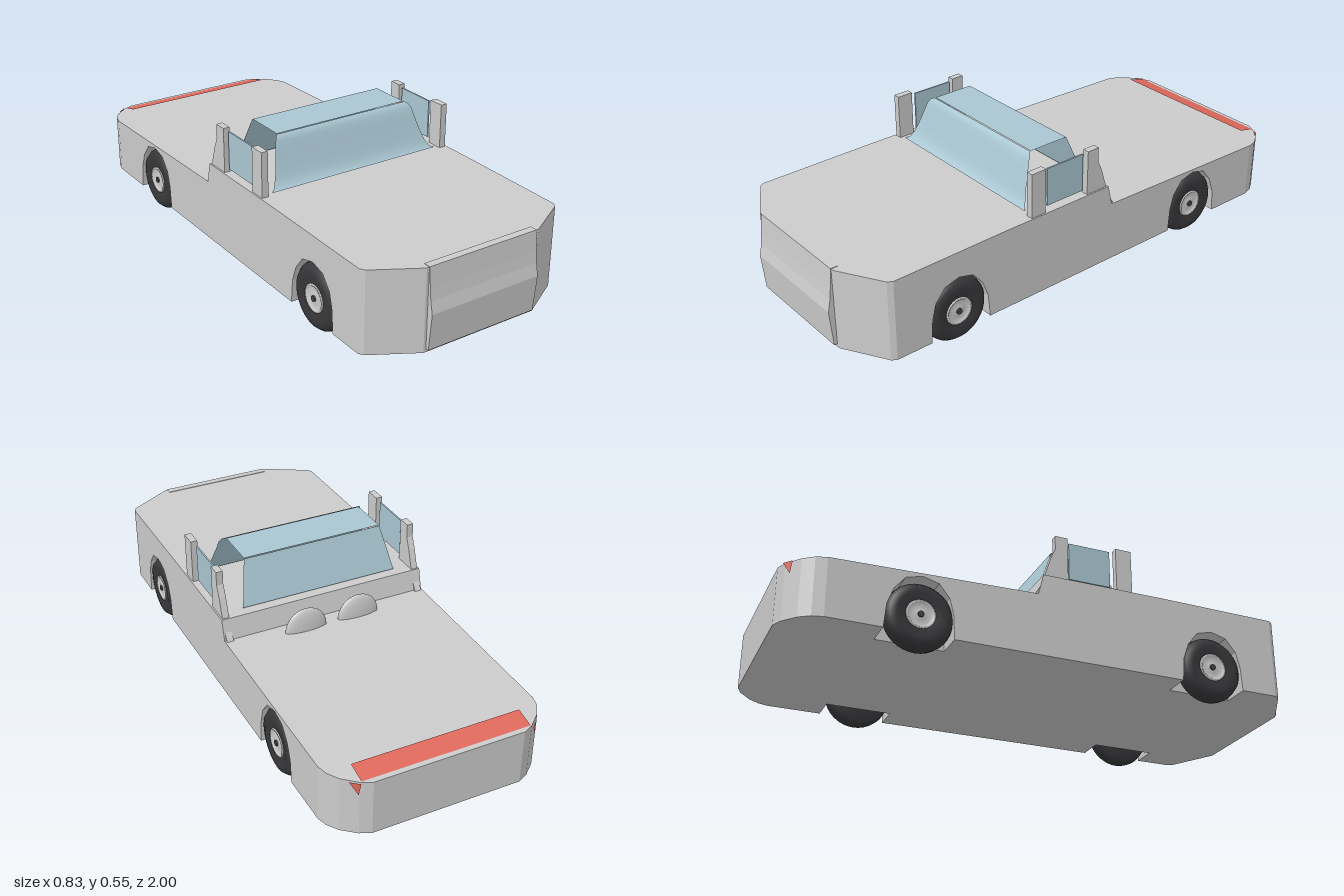
import * as THREE from 'three';

const mat = (color, side = THREE.FrontSide, flatShading = false) =>
  new THREE.MeshStandardMaterial({ color, side, flatShading });

export function createModel() {
  const car = new THREE.Group();
  car.name = 'car';
  const grey = mat(0xcccccc);
  const greyThin = mat(0xcccccc, THREE.DoubleSide);
  const glass = mat(0xa9c6d2, THREE.DoubleSide);
  const red = mat(0xe0695d, THREE.DoubleSide);
  const rubber = mat(0x38383b);
  const dark = mat(0x444448);

  const add = (name, geometry, material, parent = car) => {
    const mesh = new THREE.Mesh(geometry, material);
    mesh.name = name;
    parent.add(mesh);
    return mesh;
  };
  const toShape = (pts) => new THREE.Shape(pts.map(([a, b]) => new THREE.Vector2(a, b)));

  // Side profile of [z, y] points, extruded from x0 to x1
  const slab = (pts, x0, x1) =>
    new THREE.ExtrudeGeometry(toShape(pts), { depth: x1 - x0, bevelEnabled: false })
      .rotateY(-Math.PI / 2).translate(x1, 0, 0);

  // Half plan of [x, z] points, mirrored and extruded from y0 to y1
  const planBlock = (half, y0, y1) => {
    const other = half.map(([x, z]) => [-x, z]).reverse();
    return new THREE.ExtrudeGeometry(toShape([...half, ...other]), { depth: y1 - y0, bevelEnabled: false })
      .rotateX(Math.PI / 2).translate(0, y1, 0);
  };

  // Sheet through rows of [halfWidth, y, z]
  const sheet = (rows) => {
    const pos = [], index = [];
    rows.forEach(([w, y, z], i) => {
      pos.push(-w, y, z, w, y, z);
      if (i) {
        const a = 2 * i - 2;
        index.push(a, a + 1, a + 2, a + 1, a + 3, a + 2);
      }
    });
    const g = new THREE.BufferGeometry();
    g.setAttribute('position', new THREE.Float32BufferAttribute(pos, 3));
    g.setIndex(index);
    g.computeVertexNormals();
    return g;
  };

  // Body: core, then side walls with wheel arches
  const floor = 0.05, inner = 0.31, outer = 0.413;
  const topLine = [[0.84, 0.362], [0.4, 0.367], [-0.08, 0.367], [-0.1, 0.287], [-0.86, 0.27]];
  add('bodyCore', slab([[-0.86, floor], [0.84, floor], ...topLine], -inner, inner), grey);

  const wheelZ = [0.6, -0.53];
  const arch = [[-0.13, 0.05], [-0.122, 0.14], [-0.1, 0.2], [-0.06, 0.25], [0, 0.266],
    [0.06, 0.25], [0.1, 0.2], [0.115, 0.14], [0.12, 0.05]];
  const archAt = (c) => arch.map(([z, y]) => [c + z, y]);
  const wall = [[-0.86, floor], ...archAt(wheelZ[1]), ...archAt(wheelZ[0]), [0.84, floor], ...topLine];
  for (const [name, x0, x1] of [['leftSide', inner, outer], ['rightSide', -outer, -inner]])
    add(name, slab(wall, x0, x1), grey);

  // Chamfered nose with a bowed centre panel
  add('nose', planBlock([[outer, 0.84], [0.413, 0.862], [0.402, 0.88], [0.235, 0.976]], floor, 0.362), grey);
  add('nosePanel', slab([[0.95, 0.062], [0.988, 0.062], [1, 0.2], [0.99, 0.245], [0.985, 0.287],
    [0.978, 0.364], [0.95, 0.364]], -0.225, 0.225), grey);

  // Rounded tail whose deck drops slightly to the rear
  const tail = planBlock([[0.285, -1], [0.325, -0.982], [0.375, -0.94], [0.402, -0.9], [outer, -0.86]], floor, 0.27);
  const tp = tail.attributes.position;
  for (let i = 0; i < tp.count; i++)
    if (tp.getY(i) > 0.2) tp.setY(i, 0.27 + (tp.getZ(i) + 0.86) * 0.04);
  tail.computeVertexNormals();
  add('tail', tail, grey);

  // Rear light strip and corner tabs
  add('rearLight', sheet([[0.32, 0.267, -0.982], [0.32, 0.284, -0.91]]), red);
  for (const s of [-1, 1]) {
    const tab = new THREE.ShapeGeometry(toShape([[-0.02, 0.012], [0.02, 0.012], [0.012, -0.035]]));
    const m = add('rearLightTab', tab, red);
    m.position.set(s * 0.34, 0.252, -0.978);
    m.rotation.y = Math.PI - s * 0.69;
  }

  // Glass canopy
  add('windshield', sheet([[0.36, 0.372, 0.27], [0.345, 0.38, 0.257], [0.332, 0.405, 0.243], [0.32, 0.44, 0.23],
    [0.308, 0.49, 0.212], [0.3, 0.525, 0.2], [0.292, 0.539, 0.19], [0.282, 0.545, 0.18]]), glass);
  add('roofGlass', sheet([[0.28, 0.545, 0.176], [0.28, 0.545, 0.012]]), glass);
  add('rearWindow', sheet([[0.28, 0.543, 0.01], [0.29, 0.5, -0.005], [0.315, 0.375, -0.05]]), glass);

  // Posts, rear pillars and side windows
  for (const s of [-1, 1]) {
    const cab = new THREE.Group();
    cab.name = s > 0 ? 'leftCabSide' : 'rightCabSide';
    car.add(cab);
    const x0 = s * 0.394 - 0.013, x1 = s * 0.394 + 0.013;
    add('frontPost', slab([[0.215, 0.36], [0.278, 0.36], [0.278, 0.54], [0.215, 0.54]], x0, x1), grey, cab);
    add('rearPost', slab([[-0.03, 0.36], [0.02, 0.36], [0.02, 0.54], [-0.005, 0.54], [-0.03, 0.54]], x0, x1), grey, cab);
    add('rearPillar', slab([[-0.115, 0.28], [-0.07, 0.28], [0, 0.36], [0, 0.54], [-0.015, 0.52], [-0.05, 0.44],
      [-0.085, 0.33]], x0, x1), grey, cab);
    add('sideWindow', new THREE.BoxGeometry(0.006, 0.148, 0.165), glass, cab).position.set(s * 0.39, 0.455, 0.113);
  }

  // Twin domes on the rear deck
  for (const s of [-1, 1]) {
    const dome = add('deckDome', new THREE.SphereGeometry(1, 28, 10, 0, Math.PI * 2, 0, Math.PI / 2), greyThin);
    dome.scale.set(0.084, 0.088, 0.021);
    dome.position.set(s * 0.108, 0.284, -0.15);
  }

  // Wheels: tyre, hub and centre cap, axis pointing outward
  const tyreProfile = [[0.05, 0.034], [0.085, 0.041], [0.108, 0.036], [0.121, 0.02], [0.125, 0],
    [0.121, -0.02], [0.108, -0.036], [0.05, -0.04]].map(([r, y]) => new THREE.Vector2(r, y)).reverse();
  const hubProfile = [[0.053, -0.036], [0.053, 0.038], [0.045, 0.038], [0.038, 0.03], [0.02, 0.034], [0, 0.036]]
    .map(([r, y]) => new THREE.Vector2(r, y));
  for (const z of wheelZ) for (const s of [-1, 1]) {
    const wheel = new THREE.Group();
    wheel.name = (z > 0 ? 'front' : 'rear') + (s > 0 ? 'Left' : 'Right') + 'Wheel';
    add('tyre', new THREE.LatheGeometry(tyreProfile, 36), rubber, wheel);
    add('hub', new THREE.LatheGeometry(hubProfile, 28), greyThin, wheel);
    add('centreCap', new THREE.CylinderGeometry(0.011, 0.011, 0.01, 16), dark, wheel).position.y = 0.036;
    wheel.rotation.z = -s * Math.PI / 2;
    wheel.position.set(s * 0.371, 0.125, z);
    car.add(wheel);
  }
  return car;
}
